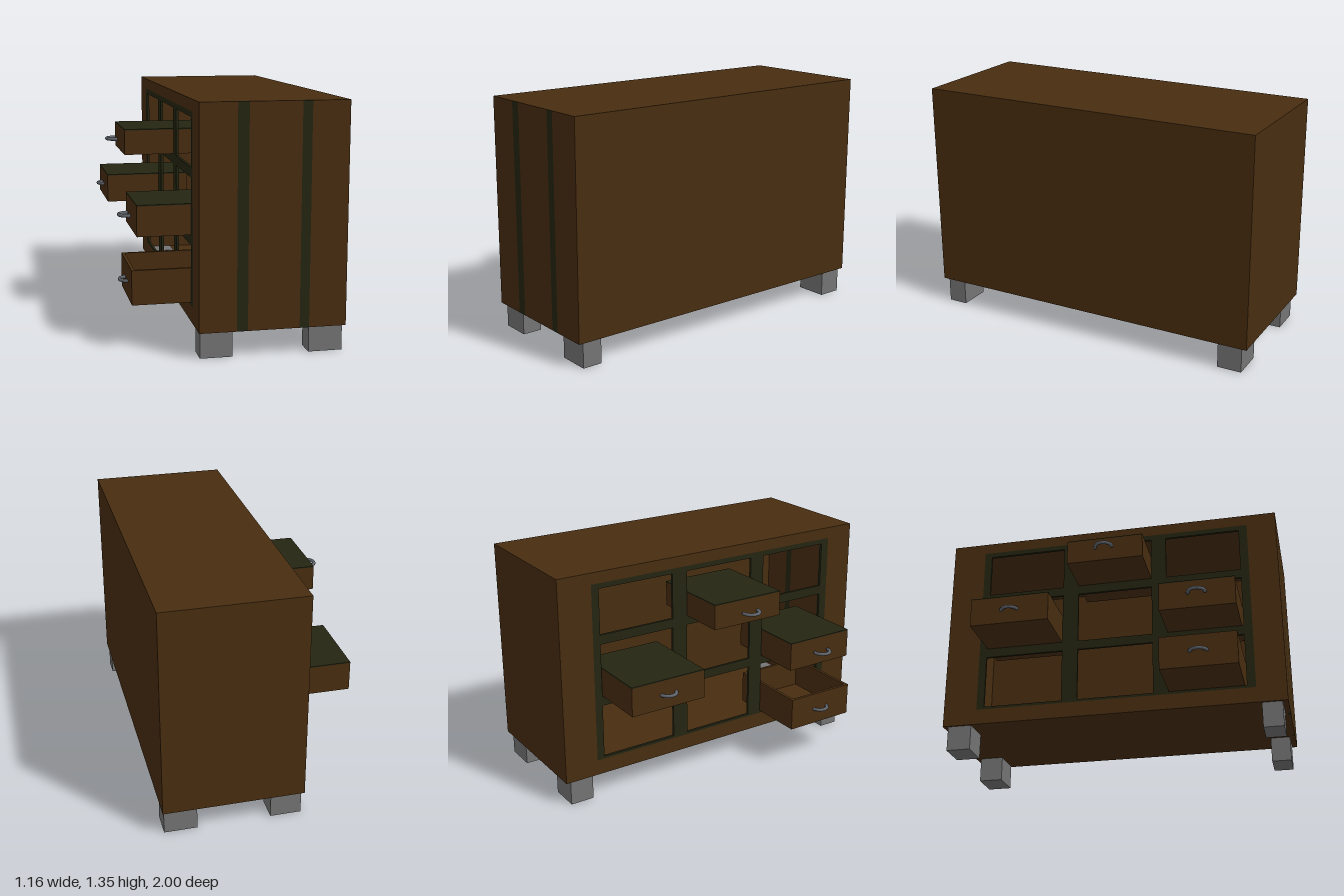
import * as THREE from 'three';

const mat = (name, color, side = THREE.FrontSide) => {
  const m = new THREE.MeshStandardMaterial({ color, side });
  m.name = name;
  return m;
};

export function createModel() {
  const wood = mat('brown wood', 0x482d10);
  const dark = mat('dark green trim', 0x242511);
  const grey = mat('grey feet', 0x747474);
  const metal = mat('handle metal', 0x5f646b);
  const model = new THREE.Group();
  model.name = 'drawerCabinet';

  // box given by its minimum and maximum corners
  const box = (parent, name, material, x0, x1, y0, y1, z0, z1) => {
    const mesh = new THREE.Mesh(new THREE.BoxGeometry(x1 - x0, y1 - y0, z1 - z0), material);
    mesh.position.set((x0 + x1) / 2, (y0 + y1) / 2, (z0 + z1) / 2);
    mesh.name = name;
    parent.add(mesh);
    return mesh;
  };

  // hollow carcass
  const X0 = -0.215, X1 = 0.58, Y0 = 0.145, Y1 = 1.345, T = 0.015;
  const body = new THREE.Group();
  body.name = 'carcass';
  model.add(body);
  box(body, 'top', wood, X0, X1, Y1 - T, Y1, -1, 1);
  box(body, 'floor', wood, X0, X1, Y0, Y0 + T, -1, 1);
  box(body, 'backPanel', wood, X1 - T, X1, Y0 + T, Y1 - T, -1, 1);
  box(body, 'plainEnd', wood, X0, X1 - T, Y0 + T, Y1 - T, -1, -1 + T);

  // end wall made of planks with dark strips running through it
  const cuts = [X0, -0.015, 0.045, 0.325, 0.377, X1];
  for (let i = 0; i < 5; i++) {
    const strip = i % 2 === 1;
    box(body, strip ? 'endStrip' : 'endPlank', strip ? dark : wood,
      cuts[i], cuts[i + 1], Y0, Y1, 1 - T, 1.001);
  }

  // drawer face surround with one large opening
  const rect = (Path, z0, z1, y0, y1) => {
    const p = new Path();
    p.moveTo(z0, y0); p.lineTo(z1, y0); p.lineTo(z1, y1); p.lineTo(z0, y1);
    p.closePath();
    return p;
  };
  const panel = (name, shape, material) => {
    const g = new THREE.ExtrudeGeometry(shape, { depth: T, bevelEnabled: false });
    g.rotateY(-Math.PI / 2); // shape x becomes z, depth runs to -x
    const mesh = new THREE.Mesh(g, material);
    mesh.position.x = X0 + T;
    mesh.name = name;
    body.add(mesh);
  };
  const surround = rect(THREE.Shape, -1 + T, 1 - T, Y0 + T, Y1 - T);
  surround.holes.push(rect(THREE.Path, -0.8, 0.83, 0.235, 1.28));
  panel('faceSurround', surround, wood);

  // dark lattice of three by three openings
  const columns = [[-0.755, -0.29], [-0.195, 0.25], [0.34, 0.78]];
  const rows = [[0.25, 0.565], [0.62, 0.93], [0.985, 1.25]];
  const lattice = rect(THREE.Shape, -0.8, 0.83, 0.235, 1.28);
  for (const [z0, z1] of columns)
    for (const [y0, y1] of rows) lattice.holes.push(rect(THREE.Path, z0, z1, y0, y1));
  panel('lattice', lattice, dark);

  // feet, reaching just through the floor
  for (const [x0, x1] of [[-0.205, -0.03], [0.385, 0.57]])
    for (const [z0, z1] of [[-0.97, -0.83], [0.855, 0.97]])
      box(model, 'foot', grey, x0, x1, 0, Y0 + T + 0.005, z0, z1);

  // drawers pulled out towards -x, most with a dark cover
  const drawer = (front, y0, y1, z0, z1, handleY, covered) => {
    const g = new THREE.Group();
    g.name = 'drawer';
    model.add(g);
    const back = front + 0.5, t = 0.018, top = covered ? y1 - 0.006 : y1;
    box(g, 'drawerFront', wood, front, front + t, y0, top, z0, z1);
    box(g, 'drawerBack', wood, back - t, back, y0, top, z0, z1);
    box(g, 'drawerSide', wood, front + t, back - t, y0, top, z0, z0 + t);
    box(g, 'drawerSide', wood, front + t, back - t, y0, top, z1 - t, z1);
    box(g, 'drawerBottom', wood, front + t, back - t, y0, y0 + t, z0 + t, z1 - t);
    if (covered) box(g, 'drawerCover', dark, front, back, top, y1, z0, z1);
    // half ring handle
    const ring = new THREE.TorusGeometry(0.048, 0.01, 8, 16, Math.PI);
    ring.rotateX(Math.PI / 2).rotateY(-Math.PI / 2);
    const handle = new THREE.Mesh(ring, metal);
    handle.name = 'handle';
    handle.position.set(-0.523, handleY, (z0 + z1) / 2);
    g.add(handle);
    for (const s of [-1, 1]) {
      const end = new THREE.Mesh(new THREE.SphereGeometry(0.011, 8, 6), metal);
      end.name = 'handleEnd';
      end.position.set(-0.523, handleY, (z0 + z1) / 2 + s * 0.048);
      g.add(end);
    }
  };
  drawer(-0.535, 0.62, 0.79, -0.75, -0.29, 0.703, true);
  drawer(-0.495, 0.985, 1.13, -0.195, 0.25, 1.055, true);
  drawer(-0.503, 0.62, 0.79, 0.34, 0.77, 0.703, true);
  drawer(-0.533, 0.25, 0.44, 0.34, 0.77, 0.342, false);

  return model;
}
